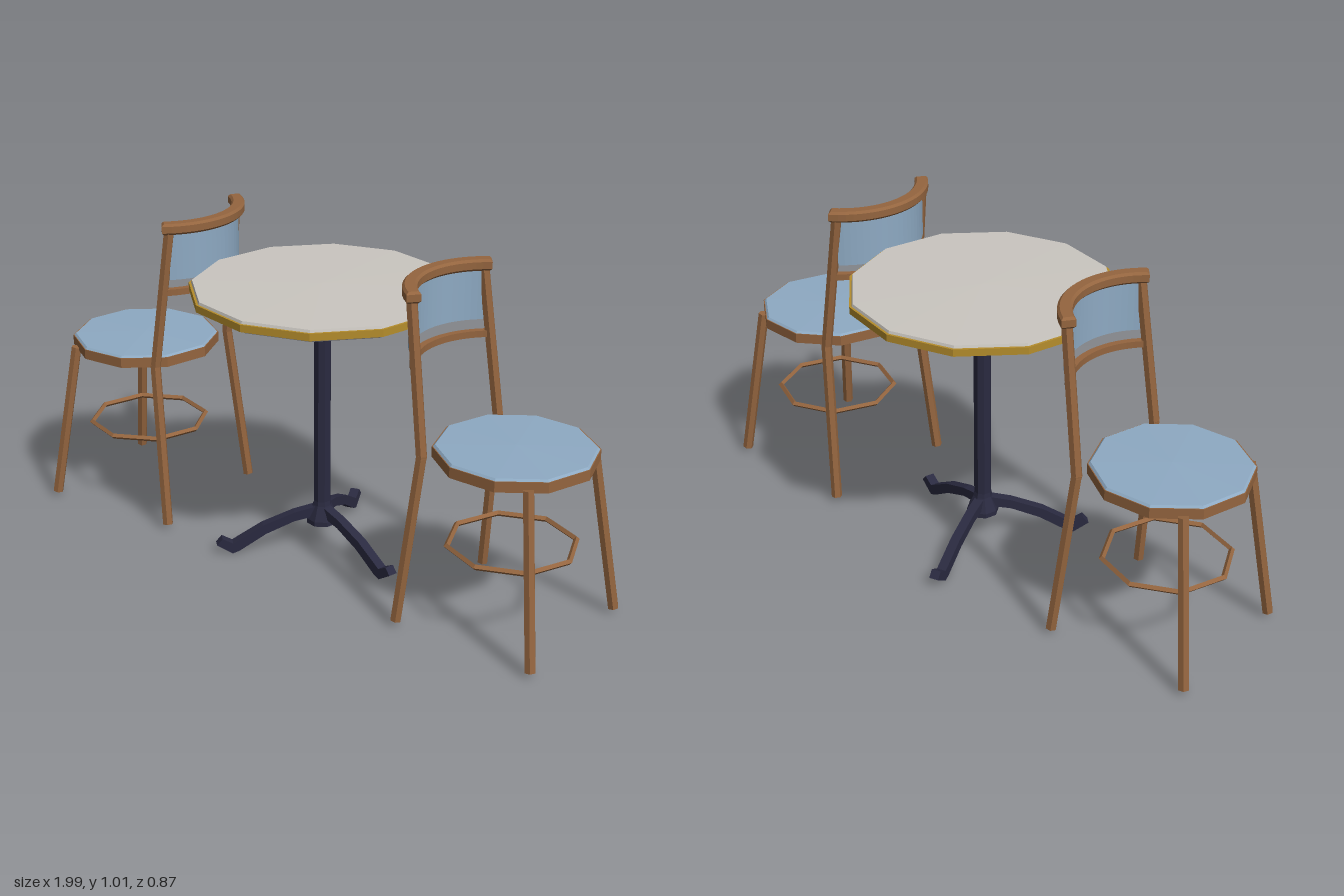
import * as THREE from 'three';

const mat = (name, color) => {
  const m = new THREE.MeshStandardMaterial({ color });
  m.name = name;
  return m;
};

export function createModel() {
  const wood = mat('brown wood', 0x94653f);
  const blue = mat('soft blue', 0x8eaac3);
  const stone = mat('pale grey top', 0xcac6c0);
  const gold = mat('mustard edge', 0xb58d2c);
  const iron = mat('dark navy iron', 0x2a2a40);

  // Mesh with faceted normals
  const add = (parent, name, geometry, material, y = 0) => {
    const g = geometry.index ? geometry.toNonIndexed() : geometry;
    g.computeVertexNormals();
    const m = new THREE.Mesh(g, material);
    m.name = name;
    m.position.y = y;
    parent.add(m);
    return m;
  };

  // Six-sided rod between two points
  const rod = (parent, name, a, b, r) => {
    const from = new THREE.Vector3(...a), to = new THREE.Vector3(...b);
    const dir = to.clone().sub(from);
    const m = add(parent, name, new THREE.CylinderGeometry(r, r, dir.length(), 6), wood);
    m.position.copy(from).add(to).multiplyScalar(0.5);
    m.quaternion.setFromUnitVectors(new THREE.Vector3(0, 1, 0), dir.normalize());
  };

  // Upright curved bar bulging to the back: centre z, radius, thickness, half angle, y range
  const bow = (parent, name, material, cz, r, t, half, y0, y1, bevel = 0) => {
    const s = new THREE.Shape();
    const a0 = -Math.PI / 2 - half, a1 = -Math.PI / 2 + half;
    s.absarc(0, cz, r + t / 2 - bevel, a0, a1, false);
    s.absarc(0, cz, r - t / 2 + bevel, a1, a0, true);
    const g = new THREE.ExtrudeGeometry(s, {
      depth: y1 - y0 - 2 * bevel, curveSegments: 10, bevelEnabled: bevel > 0,
      bevelSize: bevel, bevelThickness: bevel, bevelSegments: 1,
    });
    g.rotateX(Math.PI / 2);
    add(parent, name, g, material, y1 - bevel);
  };

  const lathe = (pts, n, start = 0) =>
    new THREE.LatheGeometry(pts.map(p => new THREE.Vector2(...p)), n, start);

  // Chair faces local +z
  const chair = (name, x, z, angle) => {
    const c = new THREE.Group();
    c.name = name;
    c.position.set(x, 0, z);
    c.rotation.y = angle;

    // Seat: wooden hoop with a padded disc
    add(c, 'seatHoop', lathe([[0.205, 0.52], [0.237, 0.52], [0.237, 0.552], [0.205, 0.552], [0.205, 0.52]], 10), wood);
    add(c, 'seatCushion', lathe([[0, 0.53], [0.212, 0.53], [0.212, 0.552], [0.234, 0.552], [0.228, 0.558], [0, 0.562]], 10), blue);

    for (const s of [-1, 1]) {
      rod(c, 'frontLeg', [s * 0.23, 0.016, 0.218], [s * 0.175, 0.53, 0.15], 0.017);
      rod(c, 'backLeg', [s * 0.229, 0.016, -0.24], [s * 0.195, 0.545, -0.187], 0.017);
      rod(c, 'backPost', [s * 0.195, 0.535, -0.187], [s * 0.178, 0.99, -0.245], 0.017);
    }

    // Footrest ring
    const ring = new THREE.TorusGeometry(0.19, 0.009, 4, 8);
    ring.rotateX(Math.PI / 2);
    add(c, 'footRing', ring, wood, 0.253);

    // Backrest
    bow(c, 'topRail', wood, -0.087, 0.238, 0.042, 0.91, 0.98, 1.015, 0.007);
    bow(c, 'backPanel', blue, -0.083, 0.236, 0.012, 0.84, 0.832, 0.982);
    bow(c, 'lowerRail', wood, -0.062, 0.244, 0.02, 0.86, 0.78, 0.8);
    return c;
  };

  const table = new THREE.Group();
  table.name = 'table';
  table.position.set(0.004, 0, -0.036);

  // Twelve-sided top with a coloured edge
  const turn = Math.PI / 12;
  add(table, 'tableTop', lathe([[0, 0.864], [0.397, 0.864], [0.394, 0.873], [0, 0.877]], 12, turn), stone);
  add(table, 'tableEdge', lathe([[0.375, 0.843], [0.404, 0.843], [0.404, 0.865], [0.375, 0.865]], 12, turn), gold);
  add(table, 'tableUnderside', lathe([[0, 0.832], [0.38, 0.832], [0.396, 0.843], [0, 0.843]], 12, turn), stone);

  // Pedestal with flared head and hub
  add(table, 'pedestal', lathe([
    [0, 0.085], [0.05, 0.085], [0.05, 0.1], [0.03, 0.145], [0.027, 0.16],
    [0.027, 0.77], [0.038, 0.78], [0.082, 0.82], [0.09, 0.834], [0, 0.834],
  ], 8, Math.PI / 8), iron);

  // Three sweeping feet with upturned toes
  const profile = [
    [0.01, 0.145], [0.09, 0.127], [0.19, 0.09], [0.285, 0.035], [0.318, 0.053],
    [0.336, 0.032], [0.287, 0], [0.265, 0.008], [0.18, 0.06], [0.09, 0.097], [0.01, 0.112],
  ];
  const footShape = new THREE.Shape(profile.map(p => new THREE.Vector2(...p)));
  for (let i = 0; i < 3; i++) {
    const g = new THREE.ExtrudeGeometry(footShape, { depth: 0.03, bevelEnabled: false });
    g.translate(0, 0, -0.015);
    add(table, 'tableFoot', g, iron).rotation.y = i * Math.PI * 2 / 3;
  }

  const model = new THREE.Group();
  model.name = 'tableWithChairs';
  model.add(
    table,
    chair('rightChair', -0.7, 0.131, -72 * Math.PI / 180),
    chair('leftChair', 0.714, -0.152, 102 * Math.PI / 180),
  );
  return model;
}
